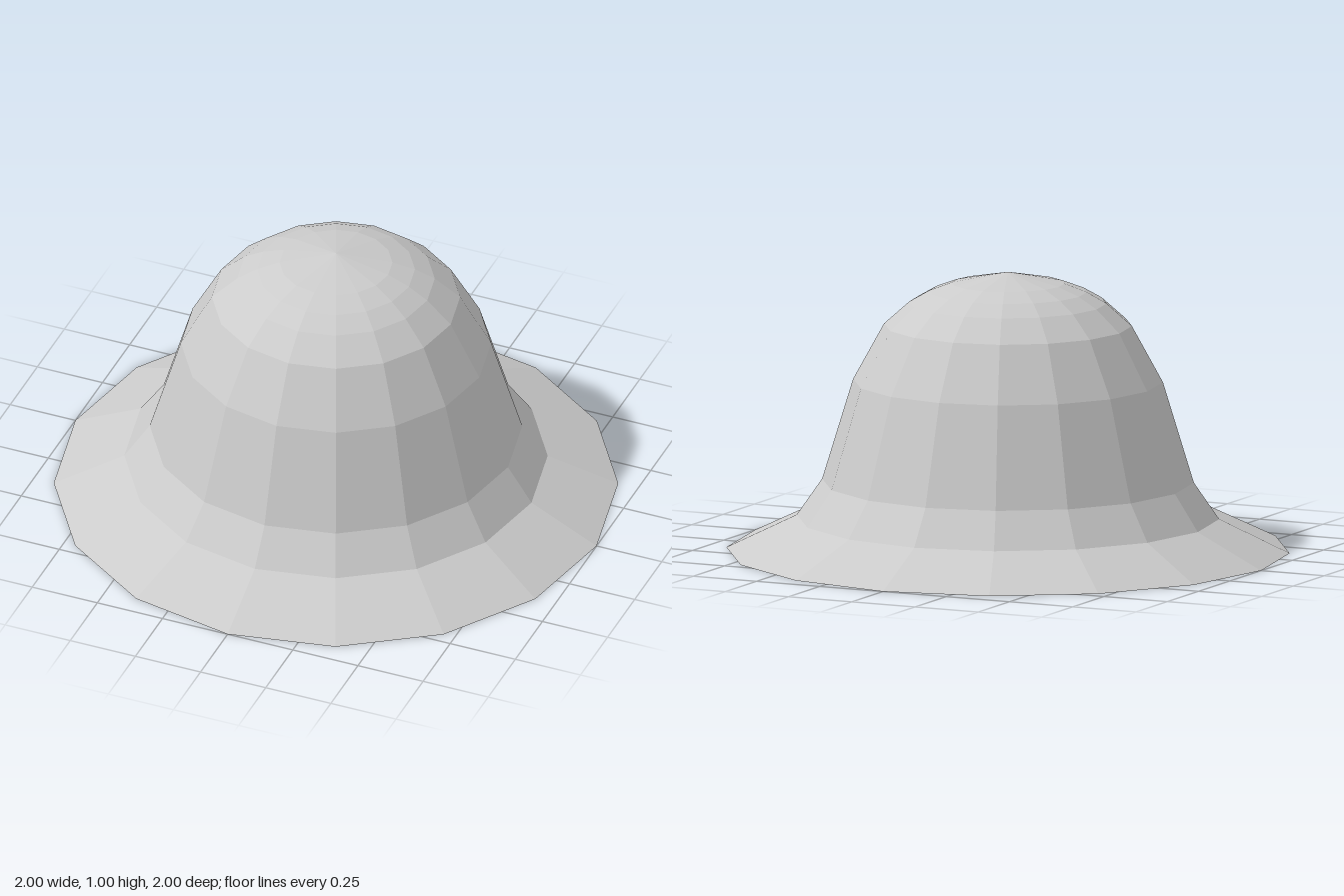
import * as THREE from 'three';

export function createModel() {
  const group = new THREE.Group();
  const material = new THREE.MeshStandardMaterial({ color: 0xcccccc, flatShading: true });

  // Closed profile (radius, height): flat base, sloping brim, flared wall, domed top
  const profile = [
    [0, 0], [1, 0], [0.75, 0.12], [0.66, 0.25], [0.55, 0.61],
    [0.44, 0.81], [0.35, 0.89], [0.28, 0.93], [0.2, 0.96], [0, 1],
  ].map(([r, y]) => new THREE.Vector2(r, y));

  // Sixteen-sided faceted bell
  const bell = new THREE.Mesh(new THREE.LatheGeometry(profile, 16), material);
  bell.name = 'bellDome';
  group.add(bell);
  return group;
}
